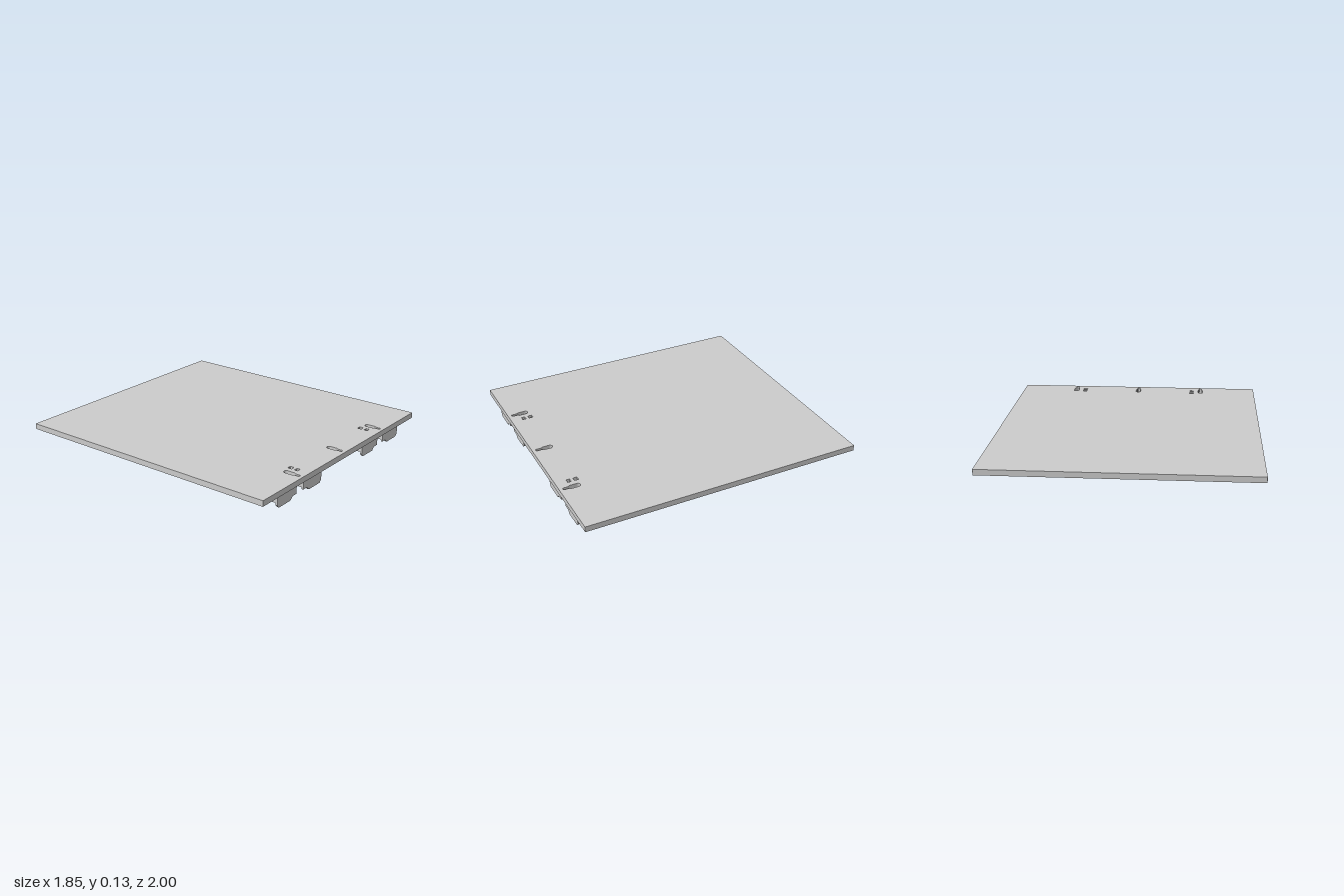
import * as THREE from 'three';

const material = new THREE.MeshStandardMaterial({ color: 0xcccccc, flatShading: true });

// Rounded rectangle in plan (x, z)
function roundRect(x0, x1, z0, z1, r, Type = THREE.Path) {
  const p = new Type();
  p.moveTo(x0 + r, z0);
  p.lineTo(x1 - r, z0);
  p.absarc(x1 - r, z0 + r, r, -Math.PI / 2, 0);
  p.lineTo(x1, z1 - r);
  p.absarc(x1 - r, z1 - r, r, 0, Math.PI / 2);
  p.lineTo(x0 + r, z1);
  p.absarc(x0 + r, z1 - r, r, Math.PI / 2, Math.PI);
  p.lineTo(x0, z0 + r);
  p.absarc(x0 + r, z0 + r, r, Math.PI, Math.PI * 1.5);
  return p;
}

// Keyhole: wide at the back, narrow neck towards the front edge
function keyhole(x) {
  const p = new THREE.Path();
  p.moveTo(x - 0.018, 0.872);
  p.absarc(x, 0.872, 0.018, Math.PI, Math.PI * 2);
  p.lineTo(x + 0.018, 0.922);
  p.lineTo(x + 0.01, 0.936);
  p.lineTo(x + 0.01, 0.966);
  p.absarc(x, 0.966, 0.01, 0, Math.PI);
  p.lineTo(x - 0.01, 0.936);
  p.lineTo(x - 0.018, 0.922);
  p.closePath();
  return p;
}

// Horizontal plate between two heights with cut-outs
function plate(name, y0, y1, holes) {
  const s = roundRect(-0.925, 0.925, -1, 1, 0.002, THREE.Shape);
  s.holes.push(...holes);
  const g = new THREE.ExtrudeGeometry(s, { depth: y1 - y0, bevelEnabled: false, curveSegments: 6 });
  g.rotateX(Math.PI / 2);
  g.translate(0, y1, 0);
  const m = new THREE.Mesh(g, material);
  m.name = name;
  return m;
}

function box(name, w, h, d, x, y, z) {
  const m = new THREE.Mesh(new THREE.BoxGeometry(w, h, d), material);
  m.name = name;
  m.position.set(x, y, z);
  return m;
}

// Bracket: front plate with a long lower tongue, two side cheeks and small pins.
// side = 1 puts the tongue towards +x
function bracket(x, side) {
  const g = new THREE.Group();
  g.name = 'mountingBracket';
  const s = new THREE.Shape([
    [-0.104, 0.09], [-0.104, 0.022], [-0.06, 0.022], [-0.042, 0.002], [-0.036, 0],
    [0.082, 0], [0.09, 0.003], [0.104, 0.02], [0.104, 0.09],
  ].map(([a, b]) => new THREE.Vector2(a * side, b)));
  const front = new THREE.Mesh(
    new THREE.ExtrudeGeometry(s, { depth: 0.012, bevelEnabled: false }), material);
  front.name = 'bracketFront';
  front.position.z = 0.966;
  g.add(front);
  for (const e of [-1, 1]) {
    g.add(box('bracketCheek', 0.01, 0.055, 0.09, e * 0.099, 0.0625, 0.925));
    g.add(box('bracketPinHead', 0.008, 0.01, 0.045, e * 0.105, 0.059, 0.928));
    g.add(box('bracketPinStem', 0.008, 0.016, 0.014, e * 0.105, 0.047, 0.928));
    // inward lip at the rear of each cheek
    g.add(box('bracketLip', 0.045, 0.055, 0.01, e * 0.0815, 0.0625, 0.885));
  }
  g.position.x = x;
  return g;
}

export function createModel() {
  const model = new THREE.Group();
  model.name = 'shelf';

  const recesses = () => [
    roundRect(-0.9, 0.9, -0.975, -0.01, 0.03),
    roundRect(-0.9, 0.9, 0.035, 0.715, 0.03),
    roundRect(-0.9, 0.9, 0.745, 0.775, 0.012),
  ];
  const keyholes = () => [-0.5, 0, 0.5].map(keyhole);
  const slots = () => [-0.43, 0.43].flatMap((x) => [
    roundRect(x - 0.015, x + 0.015, 0.843, 0.873, 0.002),
    roundRect(x - 0.015, x + 0.015, 0.895, 0.92, 0.002),
  ]);

  // Panel in three layers: closed base, core, top skin
  model.add(plate('panelBase', 0.09, 0.098, [...recesses(), ...slots()]));
  model.add(plate('panelCore', 0.098, 0.12, [...recesses(), ...keyholes(), ...slots()]));
  model.add(plate('panelTop', 0.12, 0.13, [...keyholes(), ...slots()]));

  // Mirrored pairs of brackets under the front edge
  for (const m of [-1, 1]) {
    model.add(bracket(m * 0.641, m));
    model.add(bracket(m * 0.359, -m));
  }
  return model;
}
